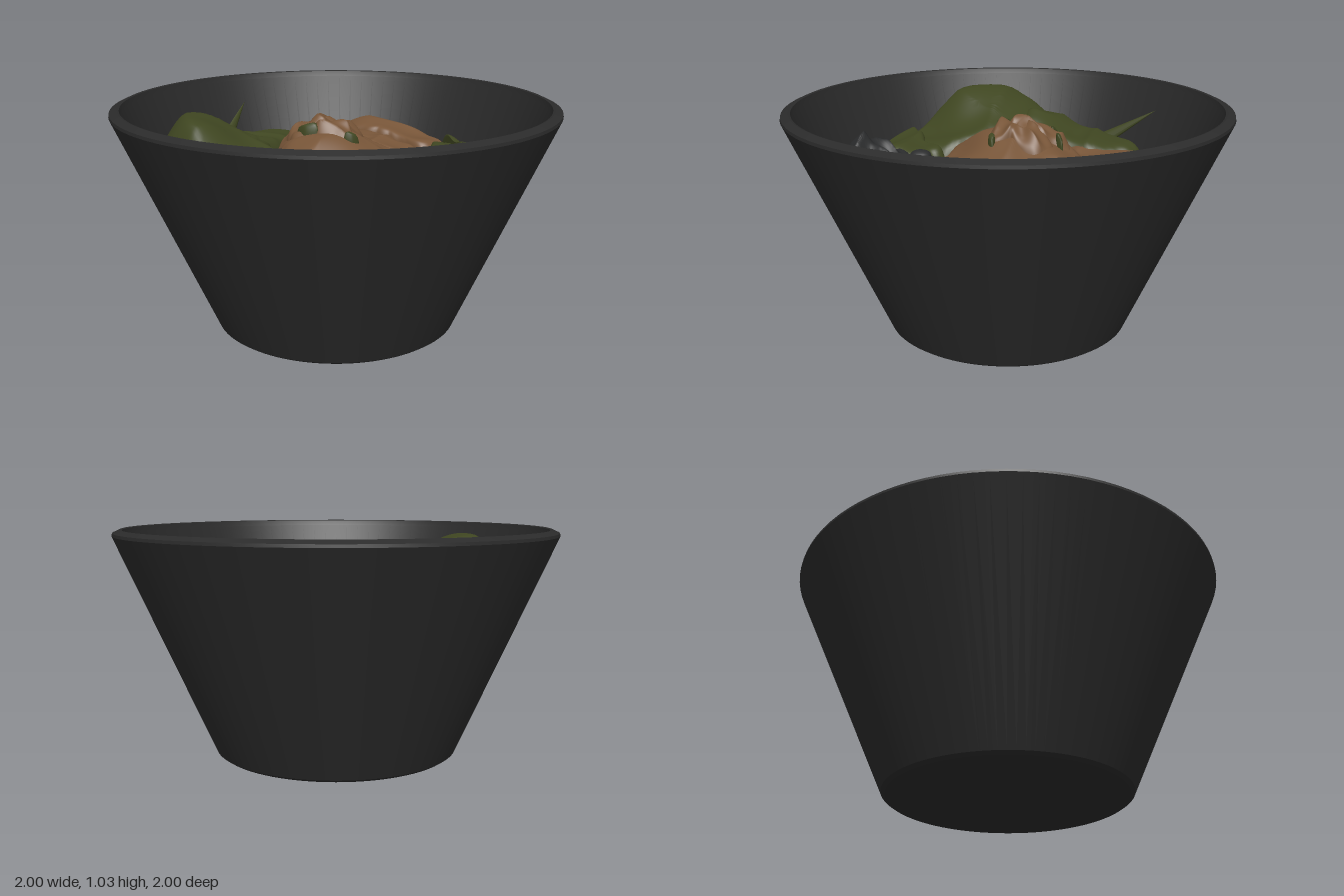
import * as THREE from 'three';
import { toCreasedNormals } from 'three/addons/utils/BufferGeometryUtils.js';

const material = (name, color, side = THREE.DoubleSide) => {
  const m = new THREE.MeshStandardMaterial({ color, side });
  m.name = name;
  return m;
};

// Soft waves crossed by sharper creases, about -1..1
const folds = (x, z, f, s) =>
  0.6 * Math.sin(f * x + 1.8 * Math.sin(0.7 * f * z + s) + s) * Math.cos(0.9 * f * z + 1.3 * Math.sin(0.6 * f * x + 2 * s)) +
  0.4 * (1 - 2 * Math.abs(Math.sin(0.8 * f * (x + 0.5 * z) + 1.6 * Math.sin(0.9 * f * z - 0.5 * f * x - s) + s)));

const bump = (x, z, cx, cz, size) => Math.exp(-((x - cx) ** 2 + (z - cz) ** 2) / (size * size));

// Height of the heaped filling; it falls off towards the bowl wall
function heapHeight(x, z) {
  const edge = THREE.MathUtils.smoothstep(Math.hypot(x, z), 0.66, 0.83);
  return 0.71 + 0.15 * bump(x, z, 0.0, -0.04, 0.24) + 0.25 * bump(x, z, -0.56, -0.35, 0.31) +
    0.07 * bump(x, z, 0.6, -0.38, 0.3) + 0.13 * bump(x, z, -0.42, 0.6, 0.19) + 0.05 * bump(x, z, 0.34, 0.6, 0.18) -
    0.05 * bump(x, z, 0.05, 0.48, 0.18) + 0.014 * folds(x, z, 7, 1) - 0.14 * edge;
}

// Lowest height at which a point is still inside the bowl wall
const wallHeight = (x, z) => 0.085 + (Math.hypot(x, z) - 0.53) * 2.26;

// A crumpled sheet lying on the heap, bounded by a wavering outline of [x, z] points
function sheet(outline, { lift = 0.04, crumple = 0.01, freq = 12, seed = 0, drop = 0.03, wobble = 0.012, rings = 28, sides = 140 } = {}) {
  const curve = new THREE.CatmullRomCurve3(outline.map(([x, z]) => new THREE.Vector3(x, 0, z)), true);
  const rim = curve.getSpacedPoints(sides).slice(0, sides);
  if (THREE.ShapeUtils.area(rim.map(p => new THREE.Vector2(p.x, p.z))) > 0) rim.reverse();
  const centre = rim.reduce((sum, p) => sum.add(p), new THREE.Vector3()).divideScalar(sides);
  for (const p of rim) p.lerp(centre, wobble * folds(p.x, p.z, 22, seed) / p.distanceTo(centre));
  const positions = [], index = [];
  const add = (x, z, t) => {
    const y = heapHeight(x, z) + lift * (1 - t ** 8) + crumple * folds(x, z, freq, seed) * (1 - 0.5 * t ** 6) - drop * t ** 14;
    positions.push(x, Math.max(y, wallHeight(x, z)), z);
  };
  add(centre.x, centre.z, 0);
  for (let r = 1; r <= rings; r++) {
    const t = Math.sin((r / rings) * Math.PI / 2);
    for (const p of rim) add(centre.x + (p.x - centre.x) * t, centre.z + (p.z - centre.z) * t, t);
  }
  for (let i = 0; i < sides; i++) {
    const j = (i + 1) % sides;
    index.push(0, 1 + i, 1 + j);
    for (let r = 0; r < rings - 1; r++) {
      const a = 1 + r * sides, b = a + sides;
      index.push(a + i, b + i, b + j, a + i, b + j, a + j);
    }
  }
  const g = new THREE.BufferGeometry();
  g.setAttribute('position', new THREE.Float32BufferAttribute(positions, 3));
  g.setIndex(index);
  g.computeVertexNormals();
  return g;
}

// A rounded lump with an uneven surface
function lump(radius, seed) {
  const g = new THREE.SphereGeometry(radius, 24, 16);
  const p = g.attributes.position;
  for (let i = 0; i < p.count; i++) {
    const k = 1 + 0.12 * Math.sin(p.getX(i) * 40 + seed) * Math.cos(p.getZ(i) * 35 + p.getY(i) * 30);
    p.setXYZ(i, p.getX(i) * k, p.getY(i) * k, p.getZ(i) * k);
  }
  g.computeVertexNormals();
  return g;
}

export function createModel() {
  const model = new THREE.Group();
  const bowlBlack = material('bowl black', 0x2b2b2b, THREE.FrontSide);
  const green = material('leaf green', 0x3f4621);
  const brown = material('filling brown', 0x775538);
  const charcoal = material('charcoal', 0x2b2c2d);
  const add = (name, geometry, mat, x = 0, y = 0, z = 0) => {
    const mesh = new THREE.Mesh(geometry, mat);
    mesh.name = name;
    mesh.position.set(x, y, z);
    model.add(mesh);
    return mesh;
  };

  // Tapered bowl with a bevelled rim
  const profile = [[0, 0], [0.545, 0], [0.562, 0.012], [1, 1.005], [0.998, 1.018], [0.965, 1.033],
    [0.955, 1.03], [0.948, 1.005], [0.53, 0.06], [0, 0.05]].map(([x, y]) => new THREE.Vector2(x, y));
  add('bowl', toCreasedNormals(new THREE.LatheGeometry(profile, 96), 0.4), bowlBlack);

  // Bed of filling with a wavy outline
  const bed = Array.from({ length: 28 }, (_, i) => {
    const a = (i / 28) * Math.PI * 2, r = 0.742 + 0.01 * Math.sin(a * 5) + 0.008 * Math.sin(a * 9 + 1);
    return [r * Math.cos(a), r * Math.sin(a)];
  });
  add('fillingBed', sheet(bed, { lift: 0, crumple: 0.014, freq: 10, seed: 2, drop: 0.08, rings: 40, sides: 160 }), brown);

  // Green leaves at the back and left
  add('largeLeaf', sheet([[-0.4, -0.68], [-0.65, -0.58], [-0.79, -0.35], [-0.77, -0.15], [-0.79, 0.03], [-0.66, 0.25],
    [-0.4, 0.24], [-0.29, 0.1], [-0.22, -0.16], [-0.08, -0.37], [-0.18, -0.6]],
  { lift: 0.06, crumple: 0.028, freq: 8, seed: 3, drop: 0.1 }), green);
  add('backLeaf', sheet([[-0.42, -0.66], [-0.2, -0.75], [0.05, -0.77], [0.24, -0.7], [0.28, -0.55], [0.15, -0.42],
    [-0.1, -0.34], [-0.3, -0.34], [-0.37, -0.5]],
  { lift: 0.075, crumple: 0.026, freq: 9, seed: 5, drop: 0.05 }), green);
  add('sideLeaf', sheet([[-0.79, 0], [-0.62, 0.03], [-0.45, 0.1], [-0.31, 0.12], [-0.33, 0.3], [-0.6, 0.36], [-0.7, 0.22]],
    { lift: 0.075, crumple: 0.018, freq: 11, seed: 1, drop: 0.05 }), green);

  // Brown slices at the right and back
  add('rightSlice', sheet([[0.43, -0.43], [0.58, -0.51], [0.7, -0.32], [0.77, -0.05], [0.67, 0.11], [0.52, 0.1], [0.49, -0.1]],
    { lift: 0.06, crumple: 0.014, freq: 12, seed: 4, drop: 0.04 }), brown);
  add('backSlice', sheet([[0.27, -0.71], [0.48, -0.64], [0.6, -0.48], [0.5, -0.35], [0.3, -0.25], [0.1, -0.33], [-0.1, -0.42], [0.22, -0.5]],
    { lift: 0.045, crumple: 0.02, freq: 12, seed: 6 }), brown);
  add('innerSlice', sheet([[0.28, -0.3], [0.44, -0.36], [0.5, -0.15], [0.5, 0.08], [0.38, 0.12], [0.32, -0.05]],
    { lift: 0.045, crumple: 0.016, freq: 14, seed: 8 }), brown);

  // Green leaves at the front right
  add('frontLeaf', sheet([[0.77, -0.03], [0.52, 0.1], [0.3, 0.21], [0.04, 0.33], [0.16, 0.46], [0.24, 0.58], [0.45, 0.46], [0.7, 0.2]],
    { lift: 0.04, crumple: 0.018, freq: 11, seed: 7 }), green);
  add('foldedLeaf', sheet([[0.76, -0.02], [0.765, 0.15], [0.68, 0.32], [0.585, 0.44], [0.42, 0.66], [0.22, 0.78], [0.11, 0.69], [0.2, 0.54], [0.46, 0.36], [0.62, 0.18]],
    { lift: 0.085, crumple: 0.022, freq: 10, seed: 2, drop: 0.05 }), green);

  // Crumpled brown mound in the middle, with overlapping shreds on top
  add('centreMound', sheet([[-0.34, 0.1], [-0.22, -0.17], [-0.08, -0.34], [0.12, -0.36], [0.3, -0.25], [0.38, 0],
    [0.3, 0.18], [0.06, 0.35], [-0.1, 0.4], [-0.28, 0.25]],
  { lift: 0.05, crumple: 0.022, freq: 12, seed: 9, drop: 0.05 }), brown);
  [
    [[-0.17, -0.05], [-0.1, -0.27], [0.08, -0.31], [0.2, -0.22], [0.12, -0.08], [-0.02, -0.02]],
    [[-0.12, -0.04], [0.02, -0.14], [0.2, -0.12], [0.2, 0], [0.06, 0.05], [0, 0.12], [-0.08, 0.06]],
  ].forEach((outline, i) => add('centreShred', sheet(outline,
    { lift: 0.08, crumple: 0.028, freq: 24, seed: 3 + i, drop: 0.02, wobble: 0.02 }), brown));

  // Green shreds showing through the mound and the dark clump: x, z, half length, angle, lift
  for (const [x, z, r, a, lift] of [[0.05, -0.24, 0.05, 0.9, 0.095], [-0.11, -0.07, 0.065, 1.3, 0.095], [0.16, -0.17, 0.035, 0.3, 0.095],
    [0.0, 0.1, 0.04, 0.6, 0.085], [0.2, 0.24, 0.07, 2.6, 0.06], [-0.18, 0.53, 0.045, 0.9, 0.1], [-0.07, 0.74, 0.04, 0.2, 0.07]]) {
    const outline = [[r, 0], [0, 0.45 * r], [-r, 0], [0, -0.5 * r]]
      .map(([u, v]) => [x + u * Math.cos(a) - v * Math.sin(a), z + u * Math.sin(a) + v * Math.cos(a)]);
    add('greenShred', sheet(outline, { lift, crumple: 0.015, freq: 24, seed: 3, rings: 6, sides: 32, drop: 0.02, wobble: 0.004 }), green);
  }

  // Dark crinkled clump at the front left
  add('darkClump', sheet([[-0.62, 0.36], [-0.46, 0.29], [-0.32, 0.24], [-0.17, 0.37], [0.04, 0.37], [0.2, 0.41], [0.24, 0.49],
    [0.11, 0.63], [0.17, 0.77], [0.02, 0.75], [-0.2, 0.785], [-0.38, 0.76], [-0.43, 0.66], [-0.58, 0.58]],
  { lift: 0.06, crumple: 0.045, freq: 22, seed: 5, drop: 0.08, wobble: 0.02, rings: 48, sides: 220 }), charcoal);
  for (const [x, z, r, lift] of [[0.33, 0.42, 0.08, 0.065], [-0.31, 0.27, 0.05, 0.05], [-0.33, 0.7, 0.055, 0.05]]) {
    add('darkLump', lump(r, x * 20), charcoal, x, heapHeight(x, z) + lift, z).scale.y = 0.75;
  }

  // Narrow leaf tip standing up at the back
  const tip = add('leafTip', new THREE.ConeGeometry(0.045, 0.38, 12), green, 0.01, 0.8, -0.78);
  tip.quaternion.setFromUnitVectors(new THREE.Vector3(0, 1, 0), new THREE.Vector3(0.26, 0.19, -0.14).normalize());
  tip.scale.z = 0.5;

  return model;
}
